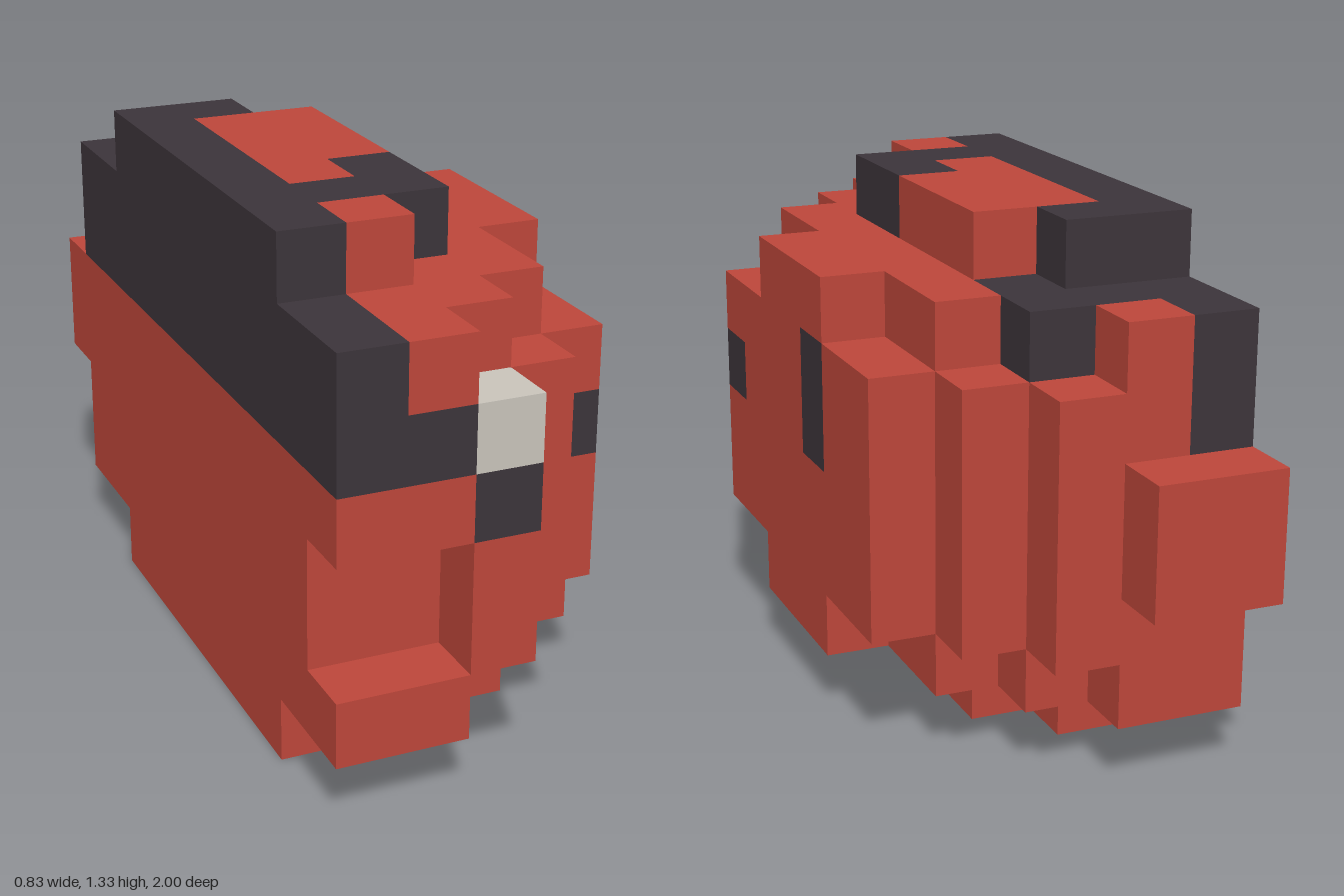
import * as THREE from 'three';

const U = 1 / 6;                 // block size
const NX = 5, NY = 8, NZ = 12;   // grid: x to the left side, y up, z to the front

// One square face per direction: normal, then two edge axes with u x v = normal
const FACES = [
  [[1, 0, 0], [0, 1, 0], [0, 0, 1]], [[-1, 0, 0], [0, 0, 1], [0, 1, 0]],
  [[0, 1, 0], [0, 0, 1], [1, 0, 0]], [[0, -1, 0], [1, 0, 0], [0, 0, 1]],
  [[0, 0, 1], [1, 0, 0], [0, 1, 0]], [[0, 0, -1], [0, 1, 0], [1, 0, 0]],
];

export function createModel() {
  const red = new THREE.MeshStandardMaterial({ name: 'red', color: 0xbd463a });
  const charcoal = new THREE.MeshStandardMaterial({ name: 'charcoal', color: 0x3c343a });
  const ivory = new THREE.MeshStandardMaterial({ name: 'ivory', color: 0xc9c4bb });
  const materials = {
    body: red, foot: red, chin: red, tail: red, topPanel: red,
    backStripe: charcoal, browStripe: charcoal, spots: charcoal, pupil: charcoal, eye: ivory,
  };

  const cells = new Map();
  const key = (x, y, z) => `${x},${y},${z}`;
  // Fill inclusive block ranges; a null part carves
  const fill = (part, [x0, x1], [y0, y1], [z0, z1]) => {
    for (let x = x0; x <= x1; x++) for (let y = y0; y <= y1; y++) for (let z = z0; z <= z1; z++) {
      if (part) cells.set(key(x, y, z), part);
      else cells.delete(key(x, y, z));
    }
  };

  // Rounded body: wide core, then stepped upper and lower layers
  const core = [2, 3, 4, 4, 4, 4, 4, 4, 4, 3, 2];   // widest x for z = 1..11
  const layer = [1, 2, 3, 3, 4, 4, 4, 3, 3, 2, 1];
  core.forEach((w, n) => fill('body', [0, w], [2, 5], [n + 1, n + 1]));
  layer.forEach((w, n) => {
    fill('body', [0, w], [1, 1], [n + 1, n + 1]);
    fill('body', [0, w], [6, 6], [n + 1, n + 1]);
  });

  // Bottom and top caps
  for (const [part, y] of [['foot', 0], ['topPanel', 7]]) {
    fill(part, [0, 1], [y, y], [3, 9]);
    fill(part, [2, 2], [y, y], [4, 8]);
  }

  // Mouth recess, chin and tail
  fill(null, [0, 1], [2, 3], [11, 11]);
  fill('chin', [0, 1], [1, 1], [11, 11]);
  fill('tail', [0, 1], [3, 4], [0, 0]);

  // Dark stripe along the flat side and over the back
  fill('backStripe', [0, 0], [5, 6], [1, 11]);
  fill('backStripe', [0, 0], [7, 7], [3, 9]);
  fill('backStripe', [1, 2], [6, 6], [2, 3]);
  fill('backStripe', [1, 1], [7, 7], [3, 3]);
  fill('backStripe', [1, 2], [7, 7], [8, 8]);
  fill('backStripe', [2, 2], [7, 7], [7, 7]);

  // Face and side markings
  fill('browStripe', [1, 1], [5, 5], [11, 11]);
  fill('eye', [2, 2], [5, 5], [11, 11]);
  fill('pupil', [2, 2], [4, 4], [11, 11]);
  fill('spots', [4, 4], [4, 4], [9, 9]);
  fill('spots', [4, 4], [4, 5], [5, 5]);

  // Skin each part with the exposed block faces only
  const skins = {};
  for (const [k, part] of cells) {
    const c = k.split(',').map(Number);
    const skin = (skins[part] ??= { pos: [], nor: [], idx: [] });
    for (const [n, u, v] of FACES) {
      if (cells.has(key(c[0] + n[0], c[1] + n[1], c[2] + n[2]))) continue;
      const base = skin.pos.length / 3;
      for (const [a, b] of [[-1, -1], [1, -1], [1, 1], [-1, 1]]) {
        const p = c.map((q, i) => q + 0.5 + (n[i] + a * u[i] + b * v[i]) / 2);
        skin.pos.push((p[0] - NX / 2) * U, p[1] * U, (p[2] - NZ / 2) * U);
        skin.nor.push(...n);
      }
      skin.idx.push(base, base + 1, base + 2, base, base + 2, base + 3);
    }
  }

  const group = new THREE.Group();
  group.name = 'blockCreatureHalf';
  for (const [part, { pos, nor, idx }] of Object.entries(skins)) {
    const geometry = new THREE.BufferGeometry();
    geometry.setAttribute('position', new THREE.Float32BufferAttribute(pos, 3));
    geometry.setAttribute('normal', new THREE.Float32BufferAttribute(nor, 3));
    geometry.setIndex(idx);
    const mesh = new THREE.Mesh(geometry, materials[part]);
    mesh.name = part;
    group.add(mesh);
  }
  return group;
}
